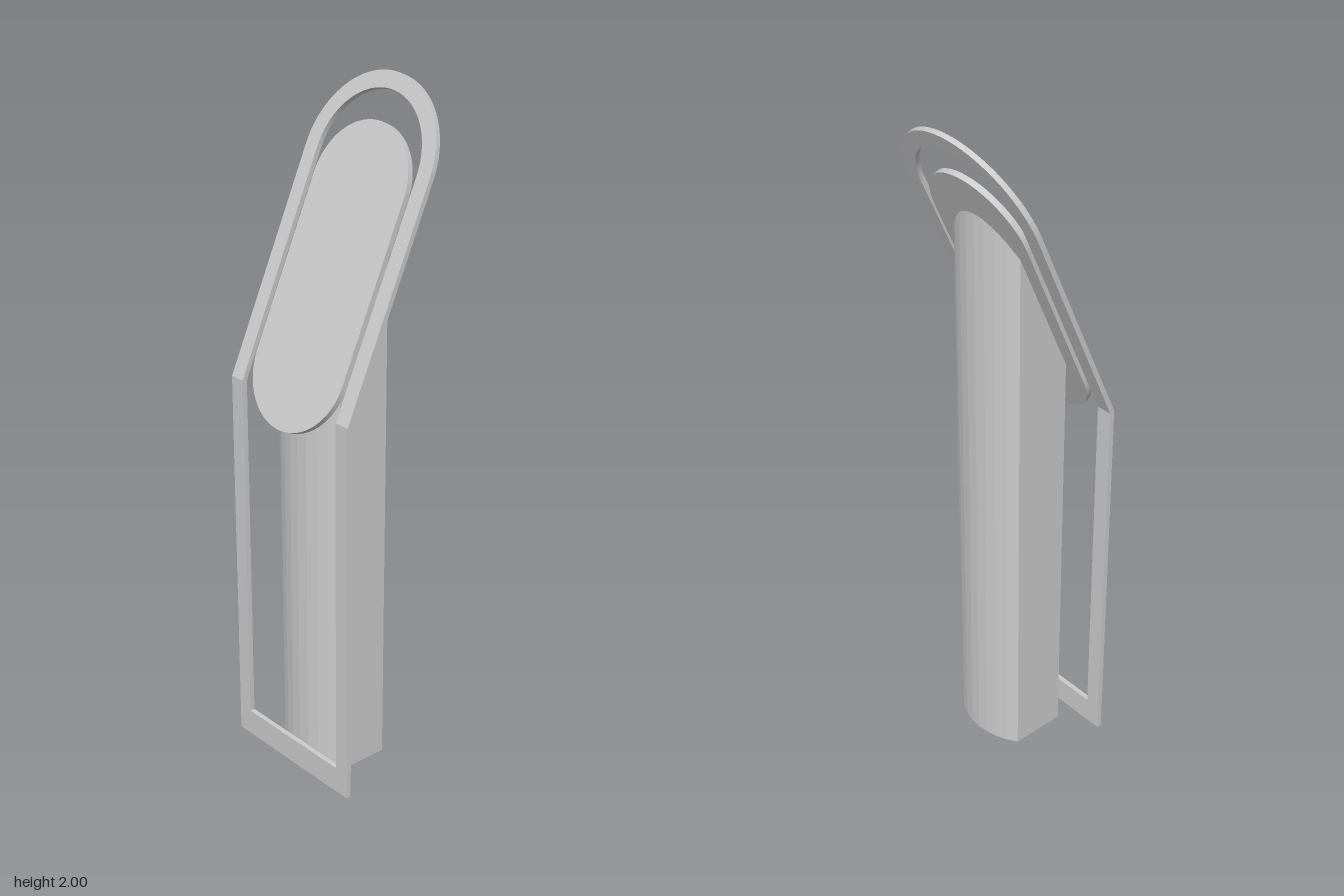
import * as THREE from 'three';

const slope = Math.atan(2.236);
const c = Math.cos(slope), s = Math.sin(slope);
const topX = 0.196, topY = 2;       // highest point of the sloping upper plane
const planeY = x => topY + (x - topX) * s / c;

const frameT = 0.015, panelT = 0.017;
const outer = 0.246, inner = 0.198; // half widths of the frame
const backX = -0.18;

const metal = new THREE.MeshStandardMaterial({ color: 0xcccccc });
const shell = new THREE.MeshStandardMaterial({ color: 0xcccccc, flatShading: true, side: THREE.DoubleSide });

function addMesh(group, name, geometry, material = metal) {
  const mesh = new THREE.Mesh(geometry, material);
  mesh.name = name;
  group.add(mesh);
  return mesh;
}

function extrude(shape, depth) {
  return new THREE.ExtrudeGeometry(shape, { depth, bevelEnabled: false, curveSegments: 20 });
}

// Shape x runs up the slope, shape y runs along z, depth goes below the plane
function onSlope(geometry) {
  const m = new THREE.Matrix4().makeBasis(
    new THREE.Vector3(c, s, 0), new THREE.Vector3(0, 0, 1), new THREE.Vector3(s, -c, 0));
  return geometry.applyMatrix4(m.setPosition(topX, topY, 0));
}

// Arched upper half of the frame
function archGeometry() {
  const low = (backX - topX) / c, mid = -outer;
  const shape = new THREE.Shape();
  shape.moveTo(low, -outer);
  shape.lineTo(mid, -outer);
  shape.absarc(mid, 0, outer, -Math.PI / 2, Math.PI / 2, false);
  shape.lineTo(low, outer);
  shape.lineTo(low, inner);
  shape.lineTo(mid, inner);
  shape.absarc(mid, 0, inner, Math.PI / 2, -Math.PI / 2, true);
  shape.lineTo(low, -inner);
  return onSlope(extrude(shape, frameT));
}

// Upright lower half of the frame, with the bar on the ground
function uprightGeometry() {
  const h = planeY(backX), bar = 0.08;
  const shape = new THREE.Shape([
    [-outer, 0], [outer, 0], [outer, h], [inner, h],
    [inner, bar], [-inner, bar], [-inner, h], [-outer, h],
  ].map(p => new THREE.Vector2(...p)));
  return extrude(shape, frameT).rotateY(-Math.PI / 2).translate(backX + frameT, 0, 0);
}

// Long rounded panel lying in the slope
function panelGeometry() {
  const r = 0.18, hi = -0.135 - r, lo = -1.003 + r;
  const shape = new THREE.Shape();
  shape.absarc(hi, 0, r, -Math.PI / 2, Math.PI / 2, false);
  shape.absarc(lo, 0, r, Math.PI / 2, Math.PI * 1.5, false);
  return onSlope(extrude(shape, panelT));
}

// Hollow post with bowed front and back, cut off under the panel
function postGeometry() {
  const half = 0.13, bow = 0.043, midX = -0.022, flat = 0.084, steps = 8;
  const r = (half * half + bow * bow) / (2 * bow);
  const sweep = Math.asin(half / r);
  const ring = [];
  for (const side of [1, -1]) {
    for (let i = 0; i <= steps; i++) {
      const a = sweep * (1 - 2 * i / steps);
      ring.push([midX + side * (flat + bow - r + r * Math.cos(a)), side * r * Math.sin(a)]);
    }
  }
  const positions = [];
  ring.forEach(([x0, z0], i) => {
    const [x1, z1] = ring[(i + 1) % ring.length];
    const y0 = planeY(x0) - panelT / c, y1 = planeY(x1) - panelT / c;
    positions.push(x0, 0, z0, x1, 0, z1, x1, y1, z1);
    positions.push(x0, 0, z0, x1, y1, z1, x0, y0, z0);
  });
  const geometry = new THREE.BufferGeometry();
  geometry.setAttribute('position', new THREE.Float32BufferAttribute(positions, 3));
  geometry.computeVertexNormals();
  return geometry;
}

export function createModel() {
  const model = new THREE.Group();
  model.name = 'slopedStand';

  const frame = new THREE.Group();
  frame.name = 'frame';
  addMesh(frame, 'frameArch', archGeometry());
  addMesh(frame, 'frameUpright', uprightGeometry());
  model.add(frame);

  addMesh(model, 'topPanel', panelGeometry());
  addMesh(model, 'post', postGeometry(), shell);
  return model;
}
